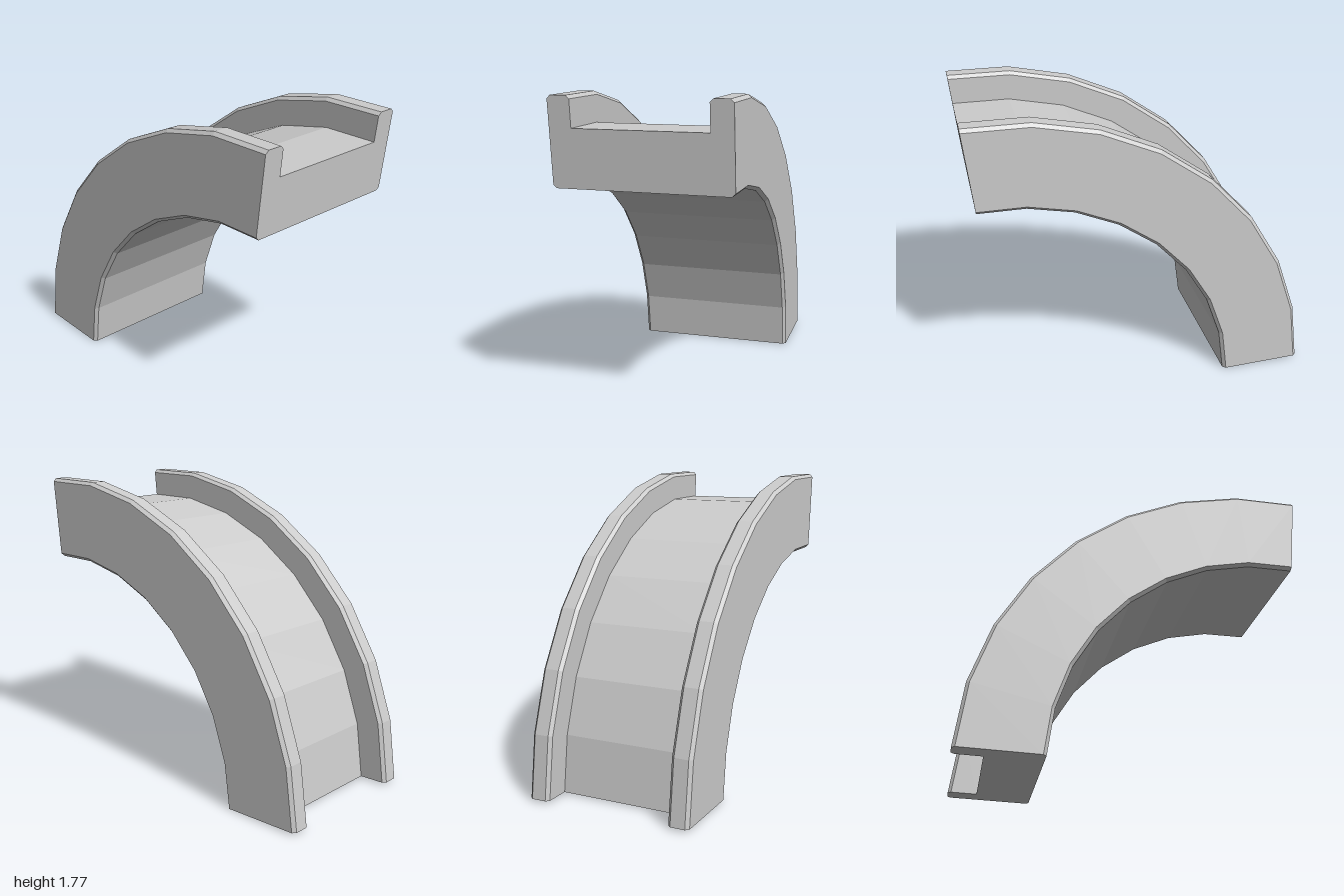
import * as THREE from 'three';

const RAD = Math.PI / 180;

export function createModel() {
  const group = new THREE.Group();
  group.name = 'curvedChannel';

  // Arc centre, sweep angles and radii of the channel
  const cx = 0.819, cy = -0.04, segments = 8;
  const start = 84.3 * RAD, end = 178.25 * RAD;
  const inner = 1.325, floor = 1.649, outer = 1.82;
  const halfWidth = 0.496, wall = 0.372, c = 0.019;

  // Half of the U-shaped section as [across, radius], mirrored for the other half
  const half = [
    [halfWidth - c, inner], [halfWidth, inner + c],
    [halfWidth, outer - c], [halfWidth - c, outer],
    [wall + c, outer], [wall, outer - c], [wall, floor],
  ];
  const mirrored = half.map(([z, r]) => [-z, r]).reverse();
  const section = new THREE.Shape([...half, ...mirrored].map(([z, r]) => new THREE.Vector2(z, r)));

  // Extrude the section, then bend its depth round the arc
  const geometry = new THREE.ExtrudeGeometry(section, { depth: 1, steps: segments, bevelEnabled: false });
  const pos = geometry.attributes.position;
  for (let i = 0; i < pos.count; i++) {
    const across = pos.getX(i), r = pos.getY(i);
    const a = start + (end - start) * pos.getZ(i);
    pos.setXYZ(i, cx + r * Math.cos(a), cy + r * Math.sin(a), across);
  }
  geometry.computeVertexNormals();

  const channel = new THREE.Mesh(
    geometry,
    new THREE.MeshStandardMaterial({ color: 0xcccccc, flatShading: true })
  );
  channel.name = 'channelWithSideWalls';
  group.add(channel);
  return group;
}
